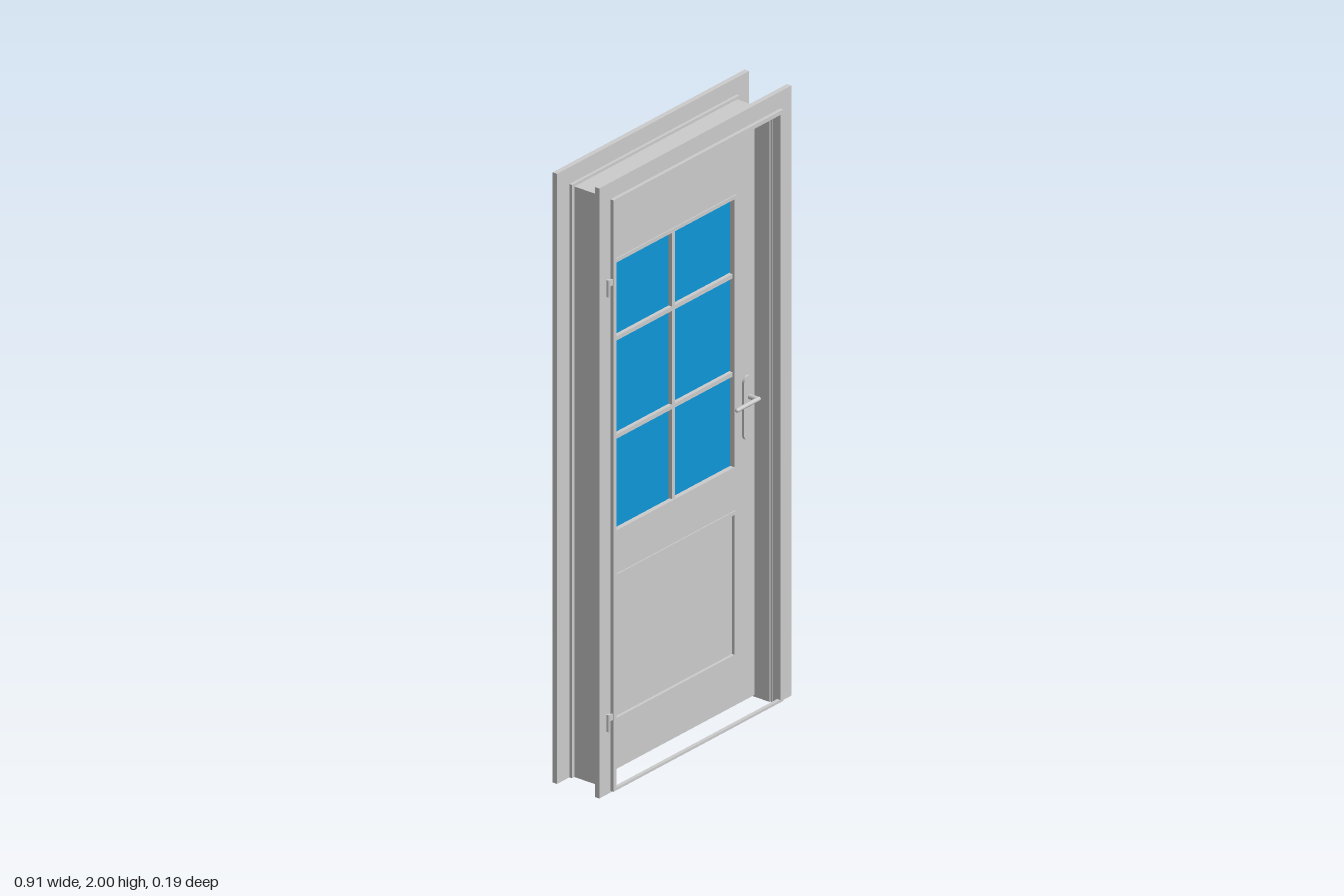
import * as THREE from 'three';

const grey = new THREE.MeshStandardMaterial({ color: 0xcccccc, side: THREE.DoubleSide });
const blue = new THREE.MeshStandardMaterial({ color: 0x0e96d8, side: THREE.DoubleSide });

function add(parent, name, geometry, material = grey) {
  const mesh = new THREE.Mesh(geometry, material);
  mesh.name = name;
  parent.add(mesh);
  return mesh;
}

// box given by its limits on each axis
function box(parent, name, [x0, x1], [y0, y1], [z0, z1], material) {
  const mesh = add(parent, name, new THREE.BoxGeometry(x1 - x0, y1 - y0, z1 - z0), material);
  mesh.position.set((x0 + x1) / 2, (y0 + y1) / 2, (z0 + z1) / 2);
  return mesh;
}

function rectangle(Type, w, y0, y1) {
  const r = new Type();
  r.moveTo(-w, y0);
  r.lineTo(w, y0);
  r.lineTo(w, y1);
  r.lineTo(-w, y1);
  r.closePath();
  return r;
}

// extruded rectangle with rectangular holes; w is half the width
function plate(parent, name, [w, y0, y1], holes, [z0, z1]) {
  const shape = rectangle(THREE.Shape, w, y0, y1);
  for (const h of holes) shape.holes.push(rectangle(THREE.Path, ...h));
  const geometry = new THREE.ExtrudeGeometry(shape, { depth: z1 - z0, bevelEnabled: false });
  geometry.translate(0, 0, z0);
  return add(parent, name, geometry);
}

// door surround, open at the bottom
function arch(parent, name, outer, top, inner, innerTop, [z0, z1]) {
  const shape = new THREE.Shape();
  const points = [[-outer, 0], [-inner, 0], [-inner, innerTop], [inner, innerTop],
    [inner, 0], [outer, 0], [outer, top], [-outer, top]];
  shape.setFromPoints(points.map(([x, y]) => new THREE.Vector2(x, y)));
  const geometry = new THREE.ExtrudeGeometry(shape, { depth: z1 - z0, bevelEnabled: false });
  geometry.translate(0, 0, z0);
  return add(parent, name, geometry);
}

// plate, stem and lever; side is 1 for the front, -1 for the back
function handle(side) {
  const group = new THREE.Group();
  group.name = side > 0 ? 'frontHandle' : 'backHandle';
  const shape = new THREE.Shape();
  shape.absarc(0, 0.085, 0.02, 0, Math.PI);
  shape.absarc(0, -0.085, 0.02, Math.PI, Math.PI * 2);
  add(group, 'handlePlate', new THREE.ExtrudeGeometry(shape, { depth: 0.008, bevelEnabled: false, curveSegments: 10 }))
    .position.set(0.34, 0.965, side > 0 ? 0 : -0.008);
  const stem = add(group, 'handleStem', new THREE.CylinderGeometry(0.008, 0.008, 0.04, 14));
  stem.rotation.x = Math.PI / 2;
  stem.position.set(0.345, 1, side * 0.02);
  const lever = add(group, 'handleLever', new THREE.CapsuleGeometry(0.007, 0.1, 4, 12));
  lever.rotation.z = Math.PI / 2;
  lever.position.set(0.298, 1, side * 0.04);
  group.position.z = side > 0 ? 0 : -0.05;
  return group;
}

export function createModel() {
  const door = new THREE.Group();
  door.name = 'door';

  // surround: casings, their tongues and the jamb between them
  const frame = new THREE.Group();
  frame.name = 'doorFrame';
  door.add(frame);
  arch(frame, 'frontCasing', 0.453, 2, 0.386, 1.938, [0.063, 0.08]);
  arch(frame, 'backCasing', 0.453, 2, 0.386, 1.938, [-0.097, -0.08]);
  arch(frame, 'frontTongue', 0.395, 1.945, 0.383, 1.935, [0.055, 0.063]);
  arch(frame, 'backTongue', 0.395, 1.945, 0.383, 1.935, [-0.08, -0.07]);
  arch(frame, 'jamb', 0.384, 1.936, 0.379, 1.93, [-0.072, 0.057]);

  // thin rim around the front opening
  plate(frame, 'frontRim', [0.401, 0.006, 1.945], [[0.386, 0.014, 1.932]], [0.08, 0.092]);

  // leaf with window and lower panel openings
  const leaf = new THREE.Group();
  leaf.name = 'doorLeaf';
  door.add(leaf);
  const windowHole = [0.283, 0.787, 1.673];
  const panelHole = [0.283, 0.172, 0.638];
  plate(leaf, 'leafBody', [0.379, 0.006, 1.93], [windowHole, panelHole], [-0.05, 0]);
  box(leaf, 'lowerPanel', [-0.283, 0.283], [0.172, 0.638], [-0.044, -0.006]);
  box(leaf, 'windowGlass', [-0.283, 0.283], [0.787, 1.673], [-0.034, -0.016], blue);

  // mouldings on both faces
  for (const [z0, z1] of [[-0.012, 0.004], [-0.054, -0.038]]) {
    for (const [name, [w, y0, y1]] of [['windowMoulding', windowHole], ['panelMoulding', panelHole]]) {
      plate(leaf, name, [w + 0.008, y0 - 0.008, y1 + 0.008], [[w - 0.004, y0 + 0.004, y1 - 0.004]], [z0, z1]);
    }
  }

  // glazing bars
  box(leaf, 'uprightBar', [-0.007, 0.007], [0.787, 1.673], [-0.048, -0.002]);
  for (const y of [1.093, 1.415]) {
    box(leaf, 'crossBar', [-0.283, 0.283], [y - 0.007, y + 0.007], [-0.047, -0.003]);
  }

  door.add(handle(1), handle(-1));

  // hinges
  for (const y of [0.237, 1.662]) {
    const hinge = new THREE.Group();
    hinge.name = 'hinge';
    add(hinge, 'hingePin', new THREE.CylinderGeometry(0.006, 0.006, 0.056, 12));
    const knuckle = add(hinge, 'hingeLeaf', new THREE.BoxGeometry(0.02, 0.02, 0.005));
    knuckle.position.set(0.01, 0.014, 0);
    hinge.position.set(-0.418, y, 0.087);
    door.add(hinge);
  }

  return door;
}
